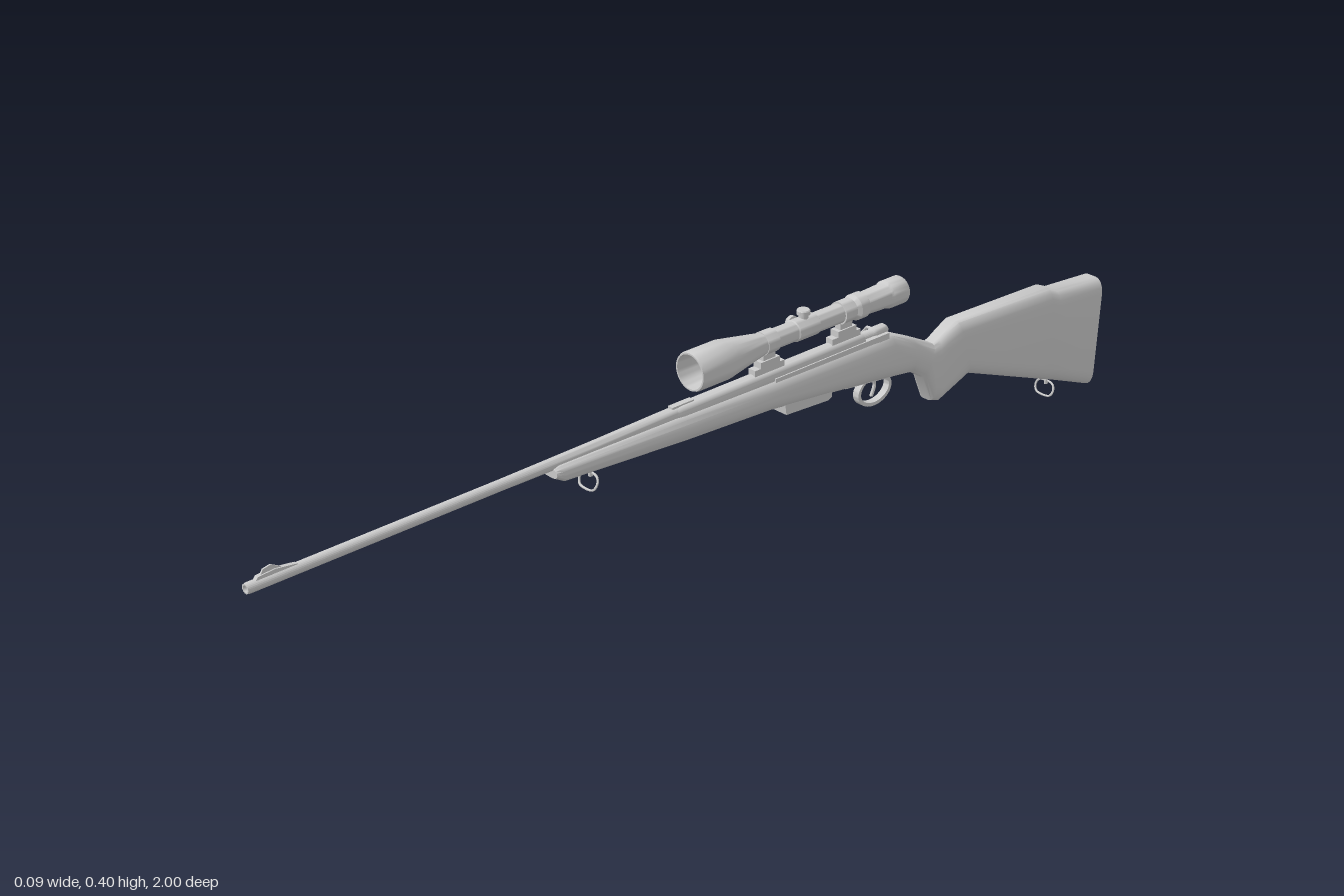
import * as THREE from 'three';
import { toCreasedNormals } from 'three/addons/utils/BufferGeometryUtils.js';

export function createModel() {
  const group = new THREE.Group();
  const rifle = new THREE.Group();
  rifle.name = 'rifle';
  rifle.position.x = 0.007;
  group.add(rifle);
  const mat = new THREE.MeshStandardMaterial({ color: 0xcccccc });

  const add = (name, geo, x = 0, y = 0, z = 0) => {
    const m = new THREE.Mesh(toCreasedNormals(geo, 0.6), mat);
    m.name = name;
    m.position.set(x, y, z);
    rifle.add(m);
    return m;
  };
  const box = (name, w, h, d, x, y, z) => add(name, new THREE.BoxGeometry(w, h, d), x, y, z);
  // Turned part along z from [radius, z] pairs, listed from back to front on the outside
  const turned = (name, pts, y, seg = 24) => add(name,
    new THREE.LatheGeometry(pts.map(p => new THREE.Vector2(p[0], p[1])), seg).rotateX(Math.PI / 2), 0, y, 0);
  // Plate with a side outline given in (z, y)
  const plate = (name, shape, width) => add(name,
    new THREE.ExtrudeGeometry(shape, { depth: width, bevelEnabled: false, curveSegments: 20 })
      .translate(0, 0, -width / 2).rotateY(-Math.PI / 2));
  const outline = pts => new THREE.Shape(pts.map(p => new THREE.Vector2(p[0], p[1])));

  // Stock: rounded cross-sections [zTop, yTop, zBottom, yBottom, halfWidth], front to back
  const sections = [
    [0.395, 0.290, 0.395, 0.273, 0.019], [0.385, 0.295, 0.375, 0.262, 0.023],
    [0.1, 0.295, 0.1, 0.245, 0.028], [-0.1, 0.291, -0.1, 0.236, 0.029],
    [-0.36, 0.289, -0.36, 0.207, 0.028], [-0.41, 0.287, -0.42, 0.198, 0.026],
    [-0.475, 0.257, -0.47, 0.19, 0.023], [-0.53, 0.229, -0.50, 0.17, 0.022],
    [-0.545, 0.235, -0.525, 0.113, 0.023], [-0.56, 0.243, -0.545, 0.107, 0.024],
    [-0.59, 0.257, -0.625, 0.139, 0.027], [-0.85, 0.248, -0.85, 0.053, 0.03],
    [-0.875, 0.237, -0.875, 0.044, 0.03], [-1, 0.227, -0.985, 0.0, 0.03],
  ];
  const corner = 4, ring = 4 * (corner + 1);
  const pos = [], idx = [];
  for (const [zt, yt, zb, yb, w] of sections) {
    const h = yt - yb, rx = w * 0.65, ry = Math.min(0.03, h * 0.45);
    for (let q = 0; q < 4; q++) {
      const sx = q === 0 || q === 3 ? 1 : -1, sy = q < 2 ? 1 : -1;
      for (let i = 0; i <= corner; i++) {
        const a = (q + i / corner) * Math.PI / 2;
        const y = (yt + yb) / 2 + sy * (h / 2 - ry) + ry * Math.sin(a);
        const t = (y - yb) / h;
        pos.push(sx * (w - rx) + rx * Math.cos(a), y, zb + (zt - zb) * t);
      }
    }
  }
  for (let s = 0; s < sections.length - 1; s++) {
    for (let i = 0; i < ring; i++) {
      const a = s * ring + i, b = s * ring + (i + 1) % ring;
      idx.push(a, a + ring, b, b, a + ring, b + ring);
    }
  }
  const last = (sections.length - 1) * ring;
  for (let i = 1; i < ring - 1; i++) {
    idx.push(0, i, i + 1, last, last + i + 1, last + i);
  }
  const stock = new THREE.BufferGeometry();
  stock.setAttribute('position', new THREE.Float32BufferAttribute(pos, 3));
  stock.setIndex(idx);
  add('stock', stock);

  // Barrel with a bored muzzle
  const axis = 0.295;
  turned('barrel', [[0.015, 0.05], [0.014, 0.13], [0.0115, 0.3], [0.0098, 0.5], [0.0095, 0.995],
    [0.0085, 1], [0.006, 1], [0.006, 0.96], [0, 0.96]], axis);

  // Receiver, bolt and handle
  turned('receiver', [[0, -0.34], [0.0165, -0.34], [0.0165, 0.105], [0.0135, 0.125]], axis - 0.001);
  box('receiverRail', 0.038, 0.012, 0.29, 0, 0.289, -0.255);
  turned('bolt', [[0, -0.408], [0.008, -0.408], [0.012, -0.402], [0.012, -0.375], [0.0095, -0.368],
    [0.0095, -0.34]], axis);
  const handlePath = new THREE.CatmullRomCurve3([
    new THREE.Vector3(-0.004, 0.3, -0.378), new THREE.Vector3(-0.018, 0.3, -0.38),
    new THREE.Vector3(-0.03, 0.288, -0.383), new THREE.Vector3(-0.045, 0.272, -0.385)]);
  add('boltHandle', new THREE.TubeGeometry(handlePath, 14, 0.003, 8));
  add('boltKnob', new THREE.SphereGeometry(0.0085, 16, 12), -0.046, 0.272, -0.385);

  // Front sight ramp and blade
  plate('frontSightRamp', outline([[0.9, 0.3], [0.985, 0.3], [0.978, 0.309], [0.945, 0.311], [0.905, 0.305]]), 0.008);
  plate('frontSightBlade', outline([[0.93, 0.308], [0.972, 0.308], [0.967, 0.317], [0.952, 0.32]]), 0.003);
  // Rear sight base
  box('rearSightBase', 0.012, 0.004, 0.05, 0, 0.31, 0.1);

  // Scope: open tube with flared objective and eyepiece
  const scopeY = 0.363;
  turned('scope', [[0.0245, -0.445], [0.0265, -0.442], [0.0265, -0.405], [0.0235, -0.4], [0.0215, -0.345],
    [0.0245, -0.342], [0.0245, -0.322], [0.0185, -0.315], [0.0185, -0.1], [0.022, -0.08], [0.034, -0.01],
    [0.0365, 0.005], [0.0365, 0.075], [0.035, 0.079], [0.032, 0.079], [0.03, 0.04],
    [0.0155, -0.05], [0.0155, -0.39], [0.0225, -0.43], [0.0245, -0.445]], scopeY, 32);

  // Scope turrets: one on top, one on the bolt side
  turned('turretCollar', [[0.0185, -0.222], [0.0205, -0.22], [0.0205, -0.17], [0.0185, -0.168]], scopeY);
  const turret = () => new THREE.LatheGeometry([[0.009, 0.014], [0.009, 0.025], [0.0125, 0.026],
    [0.0125, 0.033], [0.011, 0.035], [0, 0.035]].map(p => new THREE.Vector2(...p)), 20);
  add('topTurret', turret(), 0, scopeY, -0.195);
  add('sideTurret', turret().rotateZ(Math.PI / 2), 0, scopeY, -0.195);

  // Scope mounts
  for (const z of [-0.105, -0.298]) {
    turned('scopeRing', [[0.0185, z - 0.014], [0.0215, z - 0.014], [0.0215, z + 0.014], [0.0185, z + 0.014]], scopeY);
    box('mountPost', 0.014, 0.03, 0.03, 0, 0.332, z);
    box('mountFoot', 0.02, 0.012, 0.046, 0, 0.326, z);
    box('mountBase', 0.017, 0.014, 0.072, 0, 0.313, z);
  }

  // Magazine floorplate
  plate('magazine', outline([[-0.13, 0.25], [-0.25, 0.25], [-0.25, 0.215], [-0.24, 0.211], [-0.135, 0.217]]), 0.042);

  // Trigger guard and trigger
  const guard = new THREE.Shape().absellipse(-0.378, 0.182, 0.044, 0.031, 0, Math.PI * 2);
  guard.holes.push(new THREE.Path().absellipse(-0.378, 0.183, 0.037, 0.025, 0, Math.PI * 2));
  plate('triggerGuard', guard, 0.014);
  plate('guardStrap', outline([[-0.3, 0.22], [-0.435, 0.21], [-0.435, 0.194], [-0.41, 0.196], [-0.3, 0.209]]), 0.014);
  const trigger = new THREE.CatmullRomCurve3([
    new THREE.Vector3(0, 0.21, -0.375), new THREE.Vector3(0, 0.19, -0.383), new THREE.Vector3(0, 0.168, -0.375)]);
  add('trigger', new THREE.TubeGeometry(trigger, 10, 0.0035, 8));

  // Sling swivels: a stud with a wire loop
  const swivel = (name, y, z, tilt) => {
    const loop = new THREE.CatmullRomCurve3(
      [[-0.015, 0], [0.015, 0], [0.022, -0.008], [0.021, -0.02], [0.015, -0.026], [-0.015, -0.026],
        [-0.021, -0.02], [-0.022, -0.008]].map(p => new THREE.Vector3(p[0], p[1], 0)), true);
    add(name, new THREE.TubeGeometry(loop, 40, 0.0022, 6, true), 0, y, z).rotation.x = tilt;
    add(name + 'Stud', new THREE.CylinderGeometry(0.005, 0.004, 0.022, 10), 0, y + 0.006, z);
  };
  swivel('frontSwivel', 0.249, 0.307, -0.4);
  swivel('rearSwivel', 0.036, -0.877, -0.3);
  return group;
}
